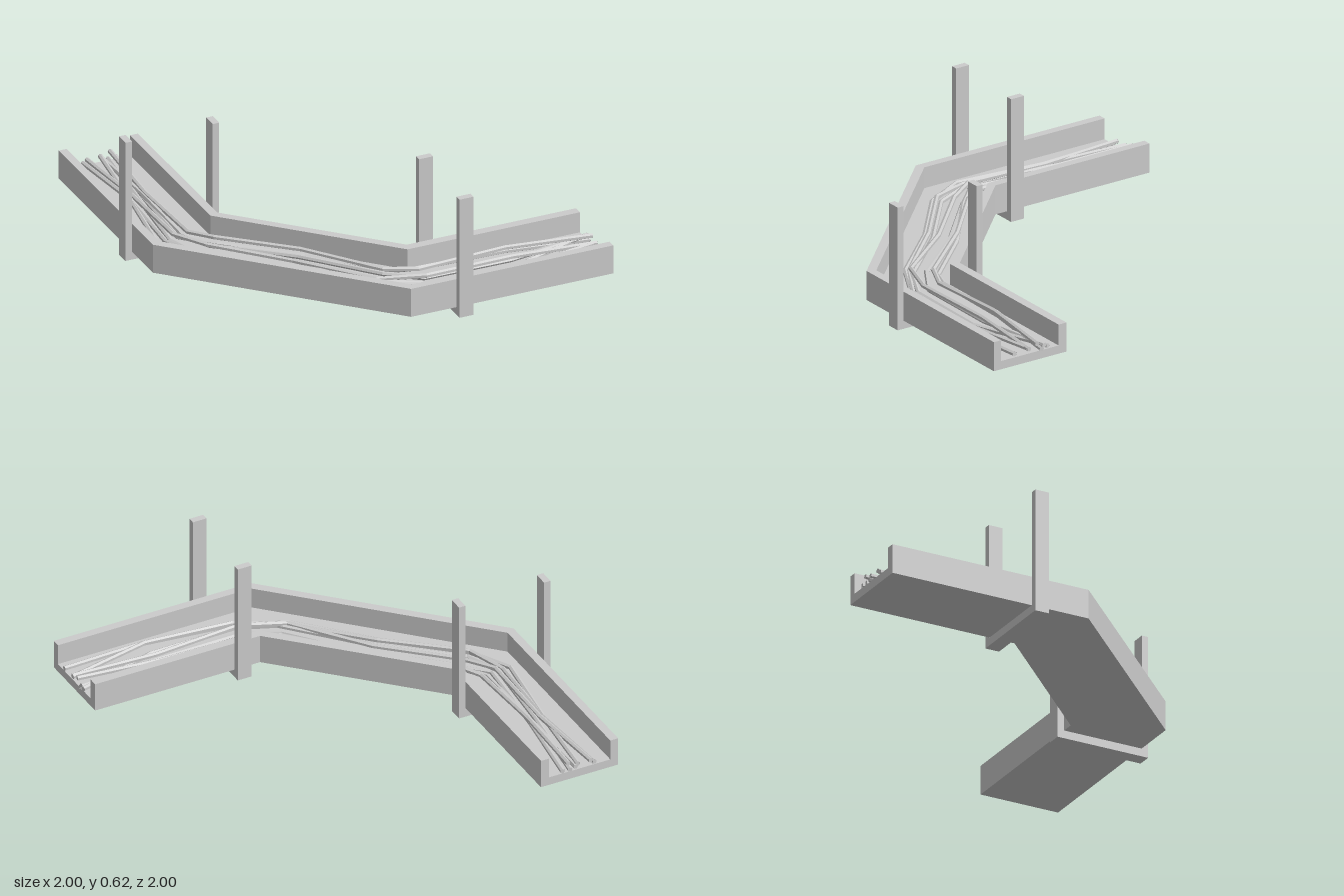
import * as THREE from 'three';

const material = new THREE.MeshStandardMaterial({ color: 0xcccccc, flatShading: true, side: THREE.DoubleSide });

// Plan lines of the tray as [x, z], from the back end round to the left end
const outerFace = [[-0.965, -1], [-0.965, 0.05], [-0.055, 0.965], [0.99, 0.965]];
const outerInside = [[-0.923, -1], [-0.923, 0.03], [-0.035, 0.923], [0.99, 0.923]];
const innerInside = [[-0.597, -1], [-0.597, -0.105], [0.098, 0.595], [0.99, 0.595]];
const innerFace = [[-0.555, -1], [-0.555, -0.12], [0.115, 0.55], [0.99, 0.55]];

// Polyline whose samples fall exactly on its corners
class Polyline extends THREE.Curve {
  constructor(points) {
    super();
    this.points = points;
  }
  getPoint(t, target = new THREE.Vector3()) {
    const n = this.points.length - 1;
    const i = Math.min(Math.floor(t * n + 1e-9), n - 1);
    return target.lerpVectors(this.points[i], this.points[i + 1], t * n - i);
  }
  getPointAt(t, target) { return this.getPoint(t, target); }
  getTangentAt(t, target) { return this.getTangent(t, target); }
}

function addMesh(parent, name, geometry) {
  const mesh = new THREE.Mesh(geometry, material);
  mesh.name = name;
  parent.add(mesh);
  return mesh;
}

// Extrudes the strip between two plan lines upward
function addStrip(parent, name, a, b, y, height) {
  const outline = [...a, ...[...b].reverse()].map(([x, z]) => new THREE.Vector2(x, -z));
  const geometry = new THREE.ExtrudeGeometry(new THREE.Shape(outline), { depth: height, bevelEnabled: false });
  geometry.rotateX(-Math.PI / 2).translate(0, y, 0);
  addMesh(parent, name, geometry);
}

function addBox(parent, name, w, h, d, x, y, z) {
  addMesh(parent, name, new THREE.BoxGeometry(w, h, d)).position.set(x, y, z);
}

// Two posts joined by a bar under the tray, built along x
function makeHanger(name) {
  const hanger = new THREE.Group();
  hanger.name = name;
  for (const side of [-1, 1]) addBox(hanger, 'hangerPost', 0.034, 0.625, 0.073, side * 0.2255, 0.3125, 0);
  addBox(hanger, 'hangerBar', 0.417, 0.04, 0.073, 0, 0.02, 0);
  return hanger;
}

// Six-sided cable with closed ends
function addCable(parent, points, radius) {
  const cable = new THREE.Group();
  cable.name = 'cable';
  parent.add(cable);
  addMesh(cable, 'cableSheath', new THREE.TubeGeometry(new Polyline(points), points.length - 1, radius, 6));
  const n = points.length - 1;
  for (const [end, next] of [[0, 1], [n, n - 1]]) {
    const cap = addMesh(cable, 'cableEnd', new THREE.CircleGeometry(radius, 6));
    cap.position.copy(points[end]);
    cap.lookAt(points[end].clone().multiplyScalar(2).sub(points[next]));
  }
}

export function createModel() {
  const model = new THREE.Group();
  model.name = 'cableTray';

  // Tray
  addStrip(model, 'trayFloor', outerFace, innerFace, 0.04, 0.042);
  addStrip(model, 'outerWall', outerFace, outerInside, 0.08, 0.108);
  addStrip(model, 'innerWall', innerInside, innerFace, 0.08, 0.108);

  // Hangers on the two straight runs
  const backHanger = makeHanger('backHanger');
  backHanger.position.set(-0.7575, 0, -0.218);
  const frontHanger = makeHanger('frontHanger');
  frontHanger.rotation.y = Math.PI / 2;
  frontHanger.position.set(0.215, 0, 0.7575);
  model.add(backHanger, frontHanger);

  // Cables: x on the back run, first bend [x, z], second bend [x, z], then z on the front run
  const cables = [
    { back: [-0.84, -0.80], bend: [[-0.865, -0.11], [-0.76, 0.1]], turn: [[-0.12, 0.70], [0.12, 0.825]], front: [0.88, 0.85], y: 0.095 },
    { back: [-0.75, -0.80], bend: [[-0.825, -0.11], [-0.75, 0.08]], turn: [[-0.11, 0.69], [0.12, 0.82]], front: [0.85, 0.765], y: 0.105 },
    { back: [-0.82, -0.78], bend: [[-0.78, -0.12], [-0.68, 0.03]], turn: [[-0.10, 0.68], [0.12, 0.76]], front: [0.738, 0.77], y: 0.115 },
    { back: [-0.74, -0.73], bend: [[-0.73, -0.13], [-0.65, 0.0]], turn: [[-0.045, 0.63], [0.12, 0.73]], front: [0.73, 0.68], y: 0.10 },
    { back: [-0.70, -0.72], bend: [[-0.70, -0.13], [-0.62, -0.01]], turn: [[-0.03, 0.60], [0.12, 0.67]], front: [0.665, 0.72], y: 0.12 },
    { back: [-0.67, -0.73], bend: [[-0.76, -0.12], [-0.62, 0.02]], turn: [[0.0, 0.595], [0.12, 0.645]], front: [0.645, 0.695], y: 0.098 },
    { back: [-0.71, -0.76], bend: [[-0.80, -0.11], [-0.73, 0.07]], turn: [[-0.06, 0.70], [0.12, 0.79]], front: [0.79, 0.66], y: 0.095 },
  ];
  cables.forEach(({ back, bend, turn, front, y }, i) => {
    const plan = [
      [back[0], -1], [back[1], -0.56], ...bend,
      [(bend[1][0] + turn[0][0]) / 2 + 0.02, (bend[1][1] + turn[0][1]) / 2 - 0.02],
      ...turn, [0.57, front[0]], [0.995, front[1]],
    ];
    const points = plan.map(([x, z], j) => new THREE.Vector3(x, y + 0.008 * Math.sin(i * 2 + j * 1.7), z));
    addCable(model, points, 0.012);
  });

  return model;
}
